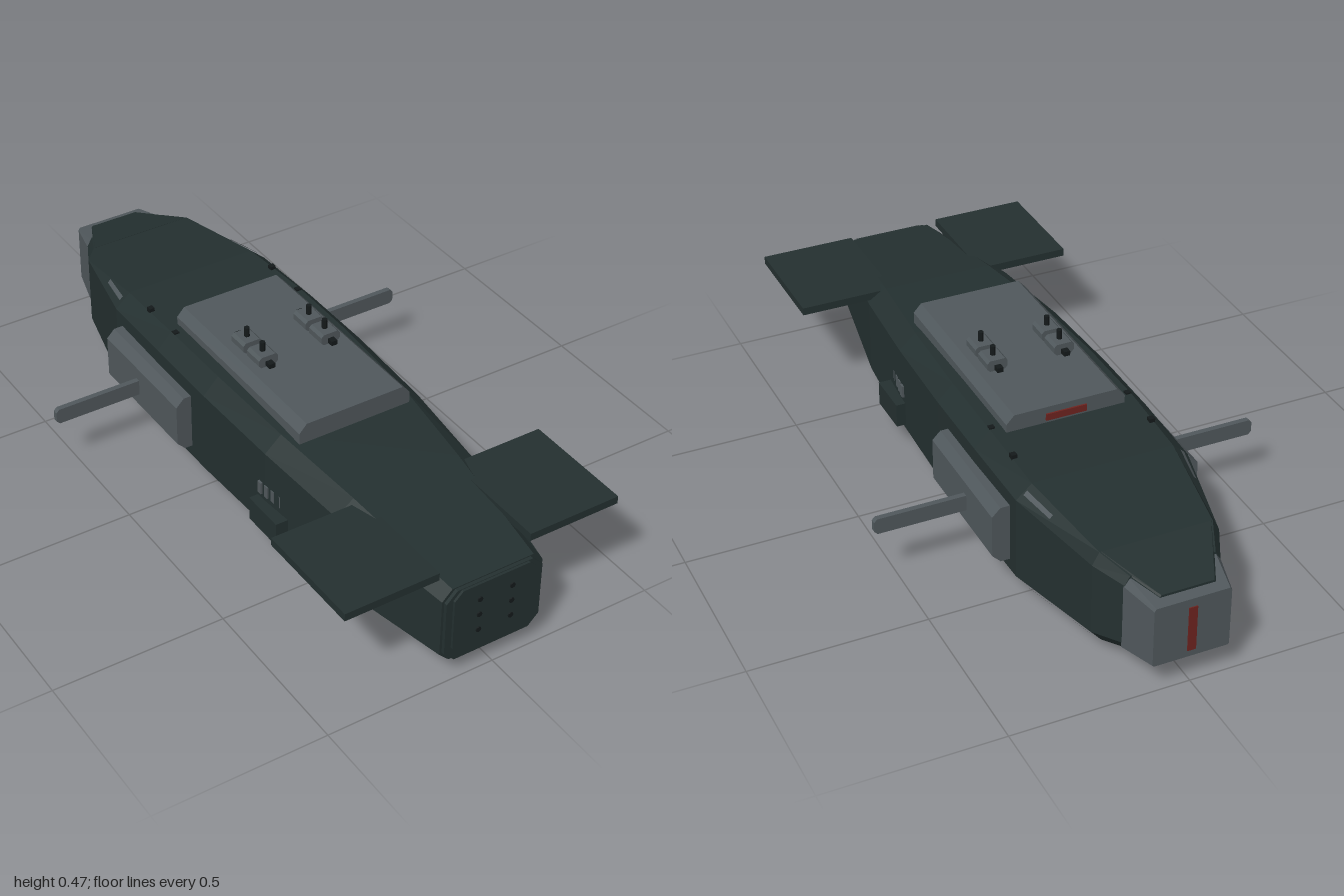
import * as THREE from 'three';

const mat = (name, color, opts = {}) => {
  const m = new THREE.MeshStandardMaterial({ color, flatShading: true, ...opts });
  m.name = name;
  return m;
};

// Hull stations: z, half width, deck half width, keel half width, keel y, lower side y, upper side y, deck y
const STATIONS = [
  [0.98, 0.155, 0.125, 0.125, 0.05, 0.08, 0.255, 0.285],
  [0.6, 0.22, 0.165, 0.18, 0.022, 0.065, 0.29, 0.328],
  [0.3, 0.245, 0.195, 0.205, 0.008, 0.06, 0.305, 0.35],
  [0, 0.255, 0.208, 0.21, 0, 0.058, 0.31, 0.358],
  [-0.25, 0.255, 0.21, 0.21, 0, 0.058, 0.31, 0.358],
  [-0.5, 0.25, 0.205, 0.205, 0.008, 0.06, 0.305, 0.345],
  [-0.8, 0.18, 0.16, 0.15, 0.035, 0.07, 0.28, 0.315],
  [-0.89, 0.135, 0.12, 0.11, 0.055, 0.085, 0.265, 0.29],
];

// Eight-sided ring, counter-clockwise seen from the front
const ring = ([z, w, t, b, y0, yl, yh, yt]) => [
  [b, y0, z], [w, yl, z], [w, yh, z], [t, yt, z],
  [-t, yt, z], [-w, yh, z], [-w, yl, z], [-b, y0, z],
];

// Skin and cap a list of rings running from front to back
function loft(rings) {
  const p = [];
  const tri = (...v) => v.forEach((q) => p.push(...q));
  const n = rings[0].length;
  for (let k = 0; k + 1 < rings.length; k++) {
    for (let i = 0; i < n; i++) {
      const j = (i + 1) % n;
      const [a, b, c, d] = [rings[k][i], rings[k][j], rings[k + 1][j], rings[k + 1][i]];
      tri(a, d, c);
      tri(a, c, b);
    }
  }
  const f = rings[0], e = rings[rings.length - 1];
  for (let i = 1; i + 1 < n; i++) {
    tri(f[0], f[i], f[i + 1]);
    tri(e[0], e[i + 1], e[i]);
  }
  const g = new THREE.BufferGeometry();
  g.setAttribute('position', new THREE.Float32BufferAttribute(p, 3));
  g.computeVertexNormals();
  return g;
}

// Bar with bevelled corners in the xy plane, between two corners
function bevelBar(x0, x1, y0, y1, z0, z1, c) {
  const s = new THREE.Shape([
    [x0 + c, y0], [x1 - c, y0], [x1, y0 + c], [x1, y1 - c],
    [x1 - c, y1], [x0 + c, y1], [x0, y1 - c], [x0, y0 + c],
  ].map(([x, y]) => new THREE.Vector2(x, y)));
  return new THREE.ExtrudeGeometry(s, { depth: z1 - z0, bevelEnabled: false }).translate(0, 0, z0);
}

const box = (x0, x1, y0, y1, z0, z1) =>
  new THREE.BoxGeometry(x1 - x0, y1 - y0, z1 - z0)
    .translate((x0 + x1) / 2, (y0 + y1) / 2, (z0 + z1) / 2);

export function createModel() {
  const hullPaint = mat('dark green hull', 0x243030);
  const grey = mat('steel grey', 0x50585c);
  const trimGrey = mat('steel grey trim', 0x50585c, { side: THREE.DoubleSide });
  const black = mat('black fittings', 0x14191a);
  const red = mat('dull red', 0x6e2420);

  const model = new THREE.Group();
  const add = (name, geo, m, parent = model) => {
    const mesh = new THREE.Mesh(geo, m);
    mesh.name = name;
    parent.add(mesh);
    return mesh;
  };

  // Hull, bow cap and stern
  add('hull', loft(STATIONS.map(ring)), hullPaint);
  add('bowCap', bevelBar(-0.148, 0.148, 0.053, 0.282, 0.978, 0.99, 0.032), hullPaint);
  add('bowPanel', bevelBar(-0.128, 0.128, 0.075, 0.28, 0.988, 0.997, 0.025), hullPaint);
  add('sternBlock', loft([
    ring([-0.885, 0.137, 0.122, 0.115, 0.057, 0.07, 0.262, 0.284]),
    ring([-1, 0.108, 0.103, 0.103, 0.08, 0.084, 0.252, 0.26]),
  ]), grey);
  add('sternDeck', loft([
    ring([-0.8, 0.16, 0.155, 0.155, 0.28, 0.285, 0.308, 0.316]),
    ring([-0.97, 0.078, 0.074, 0.074, 0.25, 0.252, 0.268, 0.273]),
  ]), hullPaint);
  add('sternLight', box(-0.012, 0.012, 0.1, 0.235, -1.003, -0.996), red);

  // Bow ports
  for (const x of [-0.05, 0.05]) {
    for (const y of [0.13, 0.18, 0.23]) {
      add('bowPort', new THREE.CylinderGeometry(0.008, 0.008, 0.004, 8)
        .rotateX(Math.PI / 2).translate(x, y, 0.998), black);
    }
  }

  // Raised superstructure with bevelled top edges
  const block = new THREE.Shape([
    [-0.175, 0.335], [0.175, 0.335], [0.175, 0.38], [0.152, 0.405], [-0.152, 0.405], [-0.175, 0.38],
  ].map(([x, y]) => new THREE.Vector2(x, y)));
  add('superstructure', new THREE.ExtrudeGeometry(block, { depth: 0.635, bevelEnabled: false })
    .translate(0, 0, -0.277), grey);
  add('rearMarker', box(-0.06, 0.06, 0.365, 0.385, -0.282, -0.276), red);

  // Roof turrets
  for (const x of [-0.1, 0.1]) {
    for (const [z, dir] of [[0.055, 1], [-0.025, -1]]) {
      const turret = new THREE.Group();
      turret.name = 'turret';
      turret.position.set(x, 0.405, z);
      add('turretBody', bevelBar(-0.03, 0.03, 0, 0.033, -0.031, 0.031, 0.008), grey, turret);
      add('turretMast', new THREE.CylinderGeometry(0.008, 0.008, 0.03, 8).translate(0, 0.046, 0), black, turret);
      add('turretStub', box(-0.009, 0.009, 0.004, 0.018, dir * 0.04 - 0.011, dir * 0.04 + 0.011), black, turret);
      model.add(turret);
    }
  }

  // Paired parts, built for +x and mirrored by coordinates
  for (const s of [1, -1]) {
    const side = new THREE.Group();
    side.name = s > 0 ? 'leftSide' : 'rightSide';
    const span = (a, b) => (s > 0 ? [a, b] : [-b, -a]);
    model.add(side);

    add('bowFin', box(...span(0.14, 0.42), 0.295, 0.318, 0.61, 0.945), hullPaint, side);
    add('sponson', bevelBar(...span(0.2, 0.302), 0.094, 0.266, -0.465, -0.07, 0.024), grey, side);
    add('sideArm', bevelBar(...span(0.28, 0.565), 0.157, 0.204, -0.298, -0.282, 0.009), grey, side);
    add('sideBox', box(...span(0.22, 0.274), 0.074, 0.146, 0.265, 0.4), hullPaint, side);

    // Vent slats
    for (let i = 0; i < 6; i++) {
      const z = 0.28 + i * 0.026;
      const x = 0.246 - i * 0.004;
      add('ventSlat', box(...span(x - 0.008, x + 0.006), 0.163, 0.2, z - 0.008, z + 0.008), grey, side);
    }

    // Deck-edge cleats
    for (const z of [-0.24, -0.38]) {
      add('deckCleat', box(...span(0.194, 0.21), 0.345, 0.362, z - 0.008, z + 0.008), black, side);
    }

    // Thin trim strips on the rear chamfers, lower and upper
    const strip = (name, i, t0, t1, f1) => {
      const [r0, r1] = [ring(STATIONS[5]), ring(STATIONS[6])].map((r) =>
        [r[i], r[i + 1]].map((v) => new THREE.Vector3(...v)));
      const at = (t, f) => r0[0].clone().lerp(r0[1], t).lerp(r1[0].clone().lerp(r1[1], t), f)
        .add(new THREE.Vector3(0.003, i === 0 ? -0.003 : 0.003, 0));
      const pts = [at(t0, 0.03), at(t1, 0.03), at(t1, f1), at(t0, f1)];
      pts.forEach((v) => { v.x *= s; });
      const g = new THREE.BufferGeometry().setFromPoints(pts);
      g.setIndex([0, 1, 2, 0, 2, 3]);
      g.computeVertexNormals();
      add(name, g, trimGrey, side);
    };
    strip('lowerTrim', 0, 0.2, 0.5, 0.95);
    strip('upperTrim', 2, 0.4, 0.65, 0.4);
  }

  return model;
}
